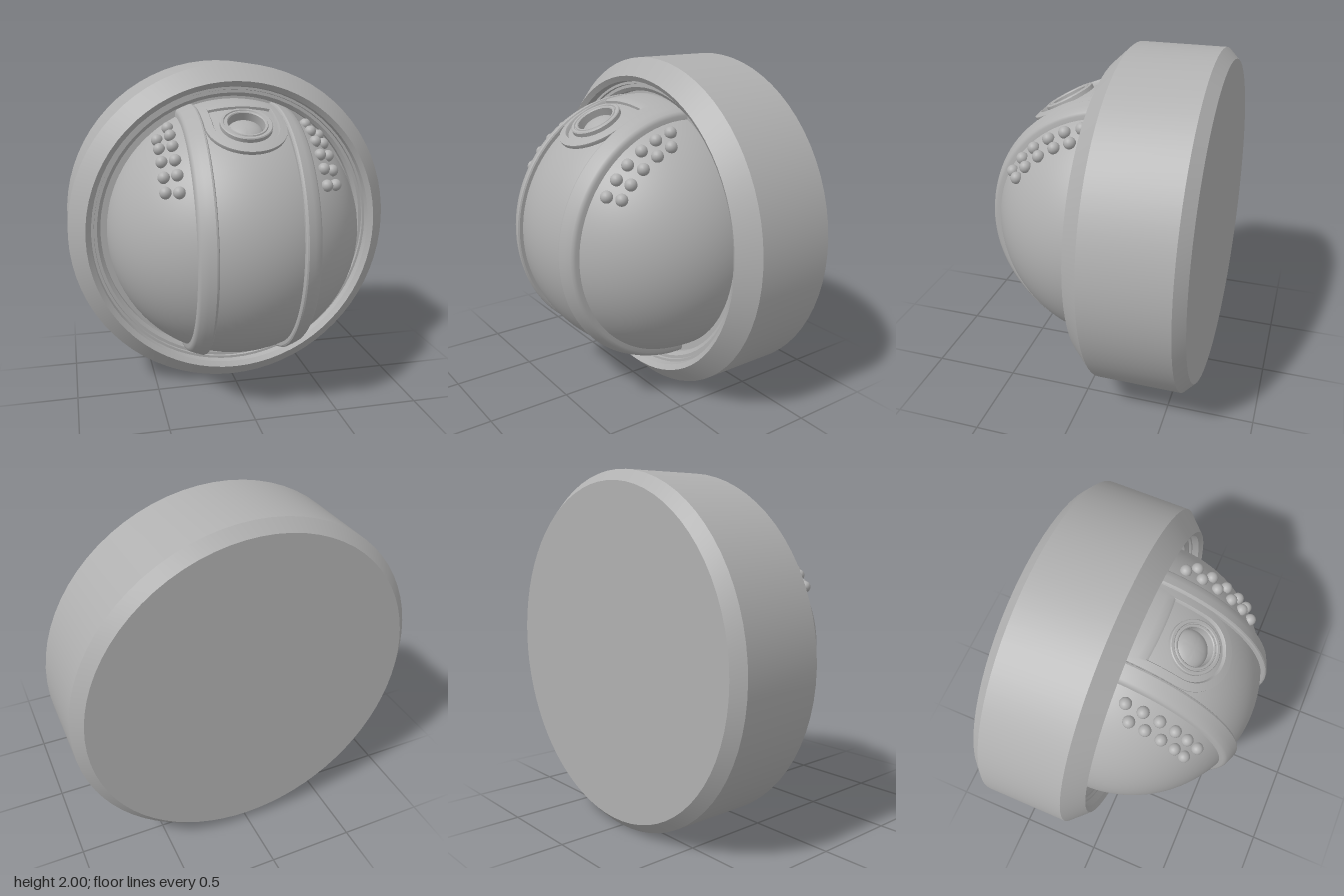
import * as THREE from 'three';
import { toCreasedNormals } from 'three/addons/utils/BufferGeometryUtils.js';

const R = 0.77;                                  // dome radius
const CENTRE_Z = -0.11;                          // dome centre, y = 1
const TILT = THREE.MathUtils.degToRad(28.2);     // lens axis, from up towards front

const shell = new THREE.MeshStandardMaterial({ color: 0xb0b0b0 });
shell.name = 'plain grey';

function add(parent, name, geometry) {
  const mesh = new THREE.Mesh(geometry, shell);
  mesh.name = name;
  parent.add(mesh);
  return mesh;
}

function lathe(points, segments, start = 0, length = Math.PI * 2) {
  const pts = points.map(([r, h]) => new THREE.Vector2(r, h));
  return toCreasedNormals(new THREE.LatheGeometry(pts, segments, start, length), 0.45);
}

// Closed U outline, counterclockwise: half circle below, straight sides, flat top
function uOutline(w, top) {
  const pts = [];
  for (let i = 0; i < 24; i++) {
    const a = Math.PI * (1 + i / 24);
    pts.push([w * Math.cos(a), w * Math.sin(a)]);
  }
  for (let i = 0; i < 6; i++) pts.push([w, top * i / 6]);
  for (let i = 0; i < 12; i++) pts.push([w - 2 * w * i / 12, top]);
  for (let i = 0; i < 6; i++) pts.push([-w, top * (1 - i / 6)]);
  return pts;
}

// Raised frame that follows the dome between two U outlines
function frameGeometry() {
  const inner = uOutline(0.18, 0.19), outer = uOutline(0.228, 0.4);
  const rows = [[0, 0.74], [0, 0.785]];
  for (let k = 0; k <= 5; k++) rows.push([0.06 + 0.88 * k / 5, 0.793]);
  rows.push([1, 0.785], [1, 0.74]);
  const n = inner.length, m = rows.length, pos = [], index = [];
  for (let i = 0; i < n; i++) {
    for (const [t, radius] of rows) {
      const u = inner[i][0] + (outer[i][0] - inner[i][0]) * t;
      const v = inner[i][1] + (outer[i][1] - inner[i][1]) * t;
      const p = new THREE.Vector3(u, v, Math.sqrt(R * R - u * u - v * v)).setLength(radius);
      pos.push(p.x, p.y, p.z);
    }
    for (let j = 0; j < m - 1; j++) {
      const a = i * m + j, d = ((i + 1) % n) * m + j;
      index.push(a, a + 1, d + 1, a, d + 1, d);
    }
  }
  const g = new THREE.BufferGeometry();
  g.setAttribute('position', new THREE.Float32BufferAttribute(pos, 3));
  g.setIndex(index);
  g.rotateX(TILT - Math.PI / 2);
  return toCreasedNormals(g, 0.6);
}

export function createModel() {
  const model = new THREE.Group();
  model.name = 'domeCamera';

  // Round chamfered housing with a stepped recess in the front
  const housing = add(model, 'housing', lathe([
    [0, -0.66], [0.94, -0.66], [1, -0.6], [1, -0.115], [0.9, -0.01], [0.87, -0.03],
    [0.865, -0.07], [0.85, -0.07], [0.848, -0.085], [0.83, -0.085], [0.81, -0.1],
    [0.808, -0.13], [0.68, -0.13],
  ], 72).rotateX(Math.PI / 2));
  housing.position.y = 1;

  const head = new THREE.Group();
  head.name = 'head';
  head.position.set(0, 1, CENTRE_Z);
  model.add(head);

  // Dome, open around the lens and flattened inside the housing
  const hole = Math.asin(0.12 / R);
  const dome = new THREE.SphereGeometry(R, 80, 56, 0, Math.PI * 2, hole, Math.PI - hole);
  dome.rotateX(TILT);
  const p = dome.attributes.position;
  for (let i = 0; i < p.count; i++) p.setZ(i, Math.max(p.getZ(i), -0.14));
  add(head, 'dome', dome);

  // Two raised bands running over the dome
  for (const side of [-1, 1]) {
    const section = [[0.235, 0.75], [0.235, 0.79], [0.24, 0.8], [0.25, 0.805],
      [0.29, 0.806], [0.325, 0.805], [0.335, 0.8], [0.34, 0.79], [0.34, 0.75]]
      .map(([x, r]) => [Math.sqrt(r * r - x * x), x * side]);
    if (side < 0) section.reverse();
    add(head, side > 0 ? 'leftBand' : 'rightBand',
      lathe(section, 56, -Math.PI / 2 - 0.06, Math.PI + 0.12).rotateZ(-Math.PI / 2));
  }

  // Lens frame, rim and sunken lens
  add(head, 'lensFrame', frameGeometry());
  add(head, 'lensRim', lathe([
    [0.148, 0.73], [0.148, 0.778], [0.143, 0.783], [0.13, 0.783], [0.126, 0.777],
    [0.122, 0.777], [0.118, 0.783], [0.11, 0.783], [0.105, 0.778], [0.105, 0.71],
  ], 48).rotateX(TILT));
  const cap = [];
  for (let i = 0; i <= 8; i++) {
    const a = (Math.PI / 2) * (i / 8);
    cap.push([0.106 * Math.cos(a), 0.71 + 0.055 * Math.sin(a)]);
  }
  add(head, 'lens', lathe(cap, 40).rotateX(TILT));

  // Staggered rows of small studs on both sides
  const columns = [
    [0.41, [0.04, 0.137, 0.23, 0.318, 0.388, 0.45]],
    [0.477, [0.085, 0.175, 0.265, 0.343, 0.4]],
  ];
  const stud = new THREE.SphereGeometry(0.034, 16, 12);
  for (const side of [-1, 1]) {
    for (const [x, depths] of columns) {
      for (const z of depths) {
        const dz = z - CENTRE_Z;
        add(head, 'stud', stud).position.set(
          side * x, Math.sqrt(0.78 * 0.78 - x * x - dz * dz), dz);
      }
    }
  }
  return model;
}
